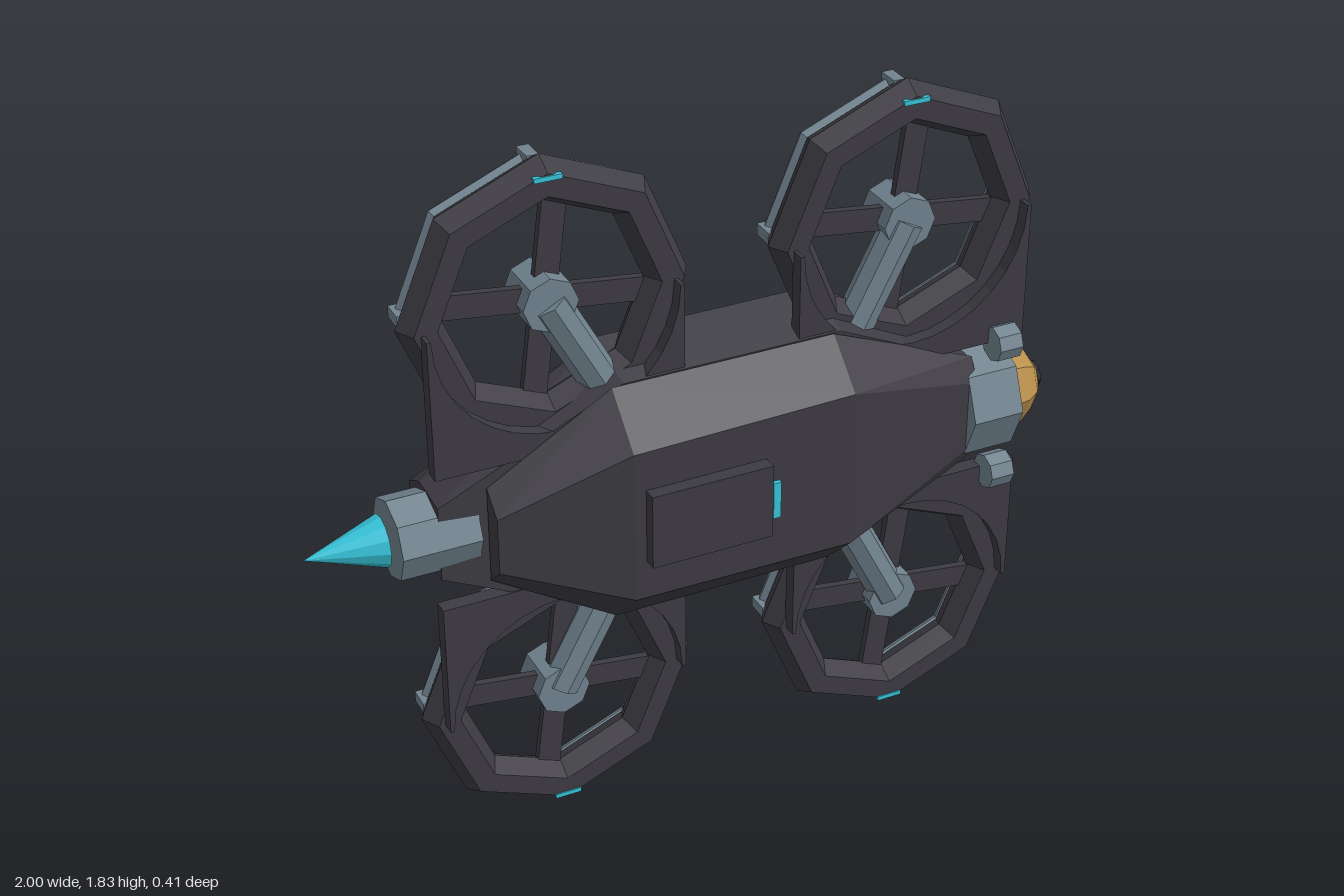
import * as THREE from 'three';
import { ConvexGeometry } from 'three/addons/geometries/ConvexGeometry.js';

const paint = (name, color) => {
  const m = new THREE.MeshStandardMaterial({ color });
  m.name = name;
  return m;
};

const MID = 0.9225;   // height of the fuselage axis
const AXIS_Z = -0.045; // depth of the nose and tail axis

export function createModel() {
  const dark = paint('charcoal', 0x3d3b42);
  const steel = paint('blue steel', 0x71838f);
  const gold = paint('gold', 0xb98f4c);
  const cyan = paint('cyan glow', 0x38c4da);
  const black = paint('lens black', 0x1c1e22);

  const model = new THREE.Group();
  model.name = 'drone';

  // Adds a faceted mesh
  const add = (parent, name, geo, mat, x = 0, y = 0, z = 0) => {
    const g = geo.index ? geo.toNonIndexed() : geo;
    g.computeVertexNormals();
    const mesh = new THREE.Mesh(g, mat);
    mesh.name = name;
    mesh.position.set(x, y, z);
    parent.add(mesh);
    return mesh;
  };
  const box = (w, h, d) => new THREE.BoxGeometry(w, h, d);
  // Cylinder along x between two stations
  const barrel = (name, x0, x1, r, mat, y, z, sides = 8) =>
    add(model, name, new THREE.CylinderGeometry(r, r, x1 - x0, sides).rotateZ(-Math.PI / 2),
      mat, (x0 + x1) / 2, y, z);

  // Hull from stations [x, [halfHeight, z], ...], mirrored about the axis
  const hull = (name, stations) => {
    const pts = [];
    for (const [x, ...rim] of stations)
      for (const [h, z] of rim) for (const s of [1, -1]) pts.push(new THREE.Vector3(x, s * h, z));
    add(model, name, new ConvexGeometry(pts), dark, 0, MID, 0);
  };
  hull('frontHull', [
    [-0.57, [0.13, 0.04], [0.075, 0.1]],
    [-0.25, [0.325, 0.05], [0.205, 0.17]],
    [0.34, [0.325, 0.05], [0.215, 0.165]],
    [0.75, [0.15, 0.03], [0.09, 0.065]],
  ]);
  hull('backHull', [
    [-0.69, [0.1, 0.03], [0.11, -0.09], [0.07, -0.163]],
    [-0.22, [0.325, 0.045], [0.38, -0.1], [0.28, -0.178]],
    [0.36, [0.325, 0.045], [0.38, -0.1], [0.28, -0.178]],
    [0.75, [0.14, 0.03], [0.15, -0.09], [0.09, -0.155]],
  ]);

  // Hatch with its light
  add(model, 'hatch', box(0.32, 0.2, 0.045), dark, -0.06, MID, 0.1825);
  add(model, 'hatchLight', box(0.02, 0.1, 0.012), cyan, 0.111, MID, 0.2);

  // Tail nozzle and exhaust
  barrel('tailNozzle', -0.79, -0.59, 0.105, steel, MID, AXIS_Z - 0.003);
  add(model, 'exhaust', new THREE.ConeGeometry(0.066, 0.195, 12).rotateZ(Math.PI / 2),
    cyan, -0.9025, MID, AXIS_Z - 0.003);

  // Nose sensor
  barrel('noseCollar', 0.722, 0.862, 0.158, steel, MID, AXIS_Z);
  add(model, 'sensorDome', new THREE.SphereGeometry(0.122, 8, 8).rotateZ(-Math.PI / 2),
    gold, 0.864, MID, AXIS_Z);
  barrel('lensRim', 0.95, 0.992, 0.037, black, MID, AXIS_Z);
  barrel('lens', 0.98, 1.0, 0.023, cyan, MID, AXIS_Z);

  // Side sensors around the nose
  for (const s of [1, -1])
    for (const [z, r] of [[-0.143, 0.06], [0.056, 0.047]]) {
      barrel('sensorPod', 0.79, 0.855, r, steel, MID + s * 0.188, z);
      barrel('sensorGlass', 0.85, 0.86, r * 0.7, gold, MID + s * 0.188, z);
    }

  // Guard plate: a rectangle on the fuselage side of the rotor with a round cut
  const guardShape = (s) => {
    const shape = new THREE.Shape();
    shape.moveTo(-0.32, 0);
    shape.lineTo(-0.32, -0.365 * s);
    shape.lineTo(0.32, -0.365 * s);
    shape.lineTo(0.32, 0);
    shape.lineTo(0.31, 0);
    for (let i = 1; i <= 16; i++) {
      const a = (i / 16) * Math.PI;
      shape.lineTo(0.31 * Math.cos(a), -0.31 * s * Math.sin(a));
    }
    return shape;
  };

  // Four rotors
  for (const s of [1, -1])
    for (const [cx, armX] of [[-0.375, 0.2], [0.57, -0.19]]) {
      const rotor = new THREE.Group();
      rotor.name = 'rotor';
      rotor.position.set(cx, MID + s * 0.5475, 0);
      model.add(rotor);

      add(rotor, 'duct', new THREE.TorusGeometry(0.308, 0.057, 6, 8), dark, 0, 0, AXIS_Z);
      add(rotor, 'ductBand', new THREE.TorusGeometry(0.32, 0.021, 6, 8), steel, 0, 0, -0.12);
      add(rotor, 'hub', new THREE.CylinderGeometry(0.07, 0.07, 0.12, 8).rotateX(Math.PI / 2),
        steel, 0, 0, -0.06);
      add(rotor, 'ductLight', box(0.07, 0.012, 0.012), cyan, 0, s * 0.325, 0.002);
      add(rotor, 'guardPlate',
        new THREE.ExtrudeGeometry(guardShape(s), { depth: 0.04, bevelEnabled: false }), dark);

      for (let i = 0; i < 4; i++) {
        const a = (i * Math.PI) / 2;
        const clip = add(rotor, 'clip', box(0.035, 0.03, 0.06), steel,
          0.328 * Math.cos(a), 0.328 * Math.sin(a), -0.11);
        clip.rotation.z = a;
        const b = a - 0.13;
        const blade = add(rotor, 'blade', box(0.26, 0.062, 0.02), dark,
          0.165 * Math.cos(b), 0.165 * Math.sin(b), -0.05);
        blade.rotation.z = b;
      }

      // Arm down to the fuselage
      const dir = new THREE.Vector3(armX, -s * 0.37, 0);
      const arm = add(rotor, 'arm', new THREE.CylinderGeometry(0.05, 0.05, dir.length(), 8),
        steel, dir.x / 2, dir.y / 2, -0.03);
      arm.quaternion.setFromUnitVectors(new THREE.Vector3(0, 1, 0), dir.clone().normalize());
    }

  return model;
}
